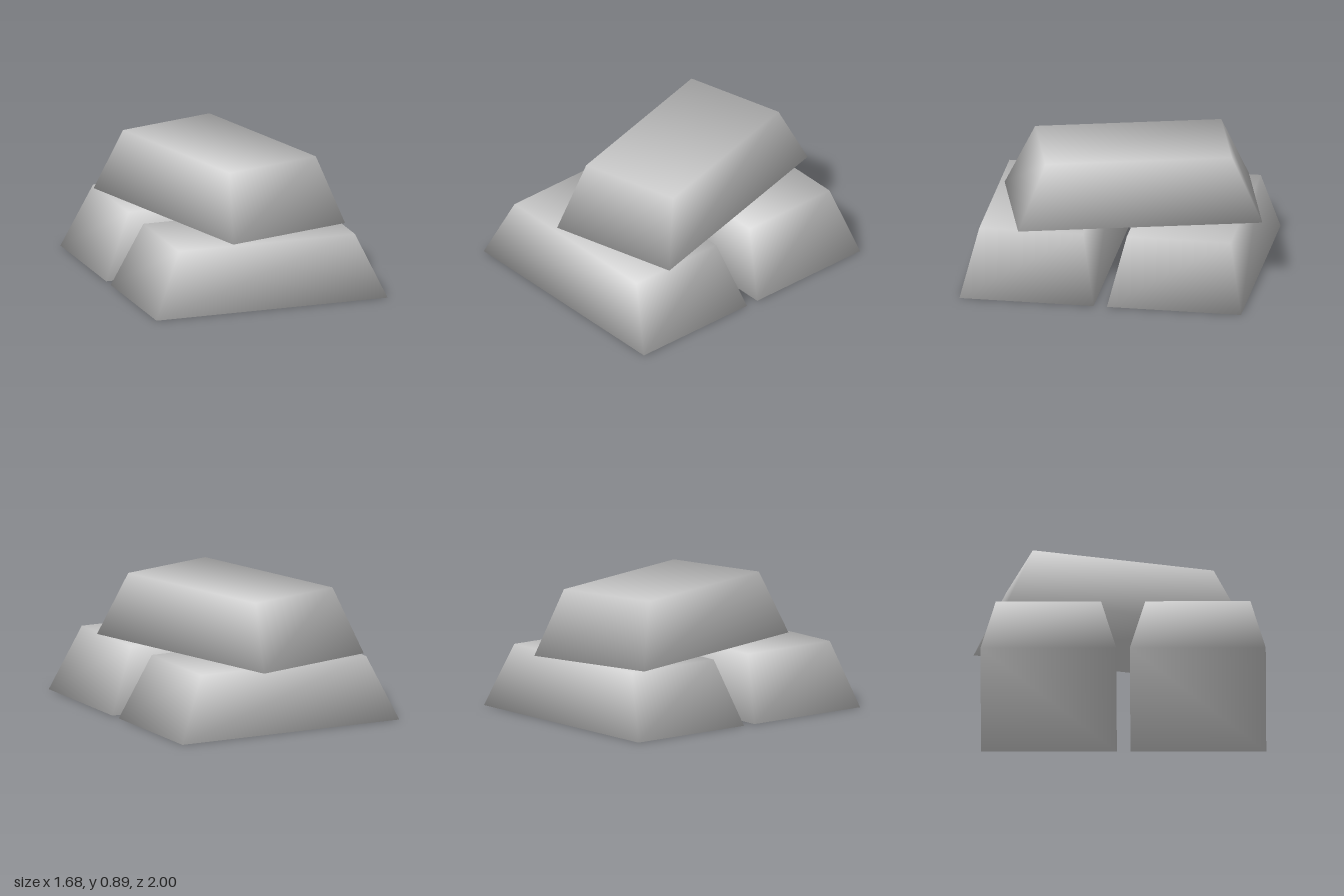
import * as THREE from 'three';

const H = 0.445;              // ingot height
const BASE = [0.84, 0.465];   // half length and half width at the bottom
const TOP = [0.64, 0.36];     // half length and half width at the top

// Smooth corner normal: the three adjoining face normals weighted by their corner angles
function cornerNormal(sx, sy, sz) {
  const dx = BASE[0] - TOP[0], dz = BASE[1] - TOP[1];
  const endFace = new THREE.Vector3(sx * H, dx, 0).normalize();
  const longFace = new THREE.Vector3(0, dz, sz * H).normalize();
  const slant = new THREE.Vector3(-sx * dx, H, -sz * dz).multiplyScalar(-sy);
  const endAngle = slant.angleTo(new THREE.Vector3(0, 0, -sz));
  const longAngle = slant.angleTo(new THREE.Vector3(-sx, 0, 0));
  return new THREE.Vector3(0, sy * Math.PI / 2, 0)
    .addScaledVector(endFace, endAngle)
    .addScaledVector(longFace, longAngle)
    .normalize();
}

// Tapered block, shaded smoothly across all its edges
function ingotGeometry() {
  const geo = new THREE.BoxGeometry(2, 2, 2);
  const pos = geo.attributes.position, nor = geo.attributes.normal;
  for (let i = 0; i < pos.count; i++) {
    const sx = Math.sign(pos.getX(i)), sy = Math.sign(pos.getY(i)), sz = Math.sign(pos.getZ(i));
    const half = sy > 0 ? TOP : BASE;
    const n = cornerNormal(sx, sy, sz);
    pos.setXYZ(i, sx * half[0], sy > 0 ? H : 0, sz * half[1]);
    nor.setXYZ(i, n.x, n.y, n.z);
  }
  return geo;
}

export function createModel() {
  const group = new THREE.Group();
  group.name = 'ingotStack';
  const metal = new THREE.MeshStandardMaterial({ color: 0xcccccc });
  metal.name = 'light grey metal';
  const geo = ingotGeometry();

  const addIngot = (name, y, z, turn) => {
    const mesh = new THREE.Mesh(geo, metal);
    mesh.name = name;
    mesh.position.set(0, y, z);
    mesh.rotation.y = THREE.MathUtils.degToRad(turn);
    group.add(mesh);
  };

  // Two ingots side by side, a third laid across them
  addIngot('frontIngot', 0, 0.535, 0);
  addIngot('backIngot', 0, -0.488, 0);
  addIngot('topIngot', H, -0.07, -75);
  return group;
}
